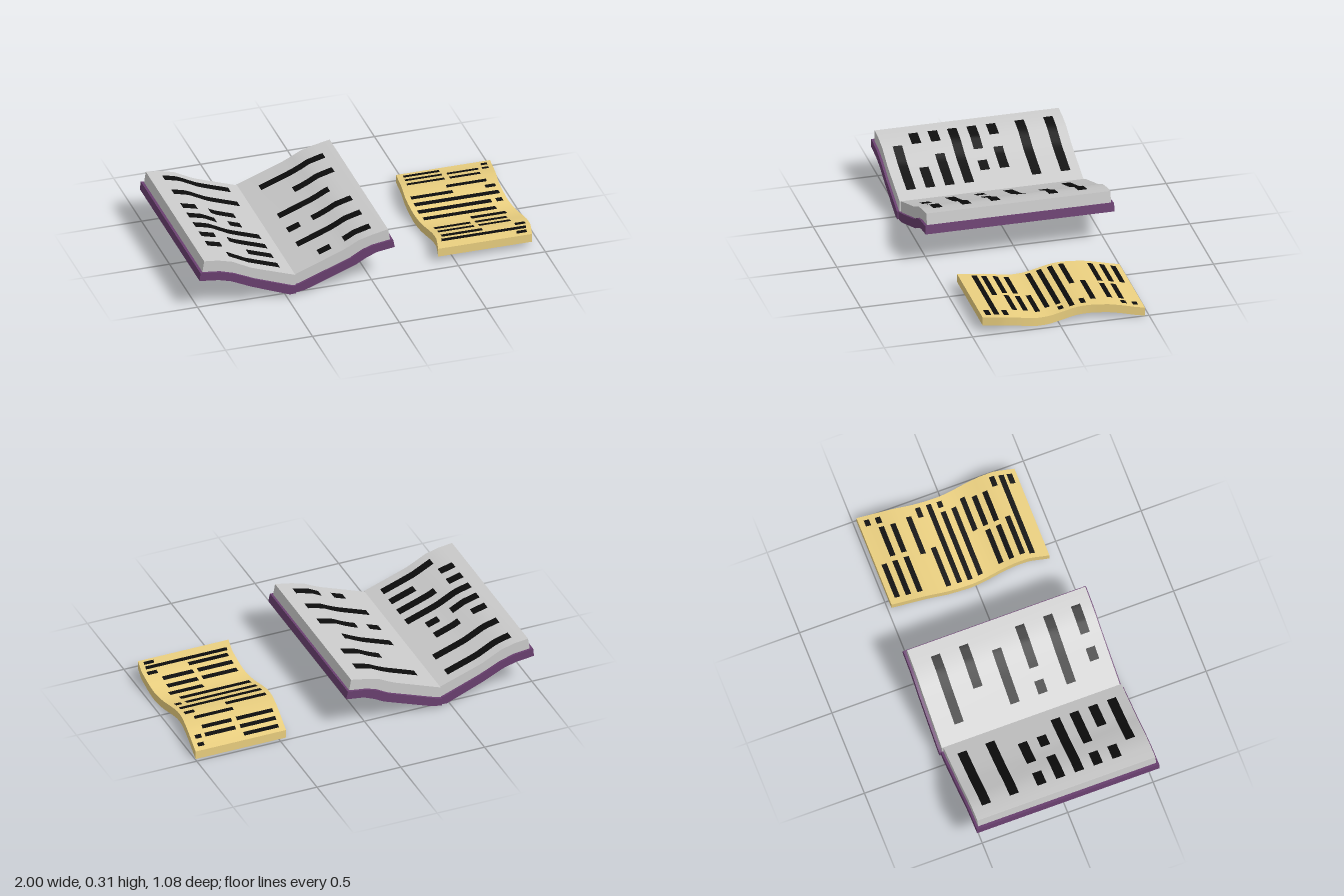
import * as THREE from 'three';
import { toCreasedNormals } from 'three/addons/utils/BufferGeometryUtils.js';

const mat = (color) => new THREE.MeshStandardMaterial({ color });

// Piecewise linear lookup through [position, value] pairs
function lerpTable(table, t) {
  let i = 0;
  while (i < table.length - 2 && t > table[i + 1][0]) i++;
  const [a, va] = table[i], [b, vb] = table[i + 1];
  return va + (vb - va) * THREE.MathUtils.clamp((t - a) / (b - a), 0, 1);
}

// Slab with an upper and a lower outline, extruded from z0 to z1
function slab(name, upper, lower, z0, z1, material) {
  const shape = new THREE.Shape([...lower, ...[...upper].reverse()].map(([x, y]) => new THREE.Vector2(x, y)));
  const geo = new THREE.ExtrudeGeometry(shape, { depth: z1 - z0, bevelEnabled: false });
  geo.translate(0, 0, z0);
  const mesh = new THREE.Mesh(toCreasedNormals(geo, 0.5), material);
  mesh.name = name;
  return mesh;
}

// Thin ink bar laid on a surface; place(x, z) returns the final point
function inkBar(name, x0, x1, z, height, place, material) {
  const geo = new THREE.PlaneGeometry(x1 - x0, height, 16, 2);
  geo.rotateX(-Math.PI / 2);
  geo.translate((x0 + x1) / 2, 0, z);
  const p = geo.attributes.position;
  for (let i = 0; i < p.count; i++) p.setXYZ(i, ...place(p.getX(i), p.getZ(i)));
  geo.computeVertexNormals();
  const mesh = new THREE.Mesh(geo, material);
  mesh.name = name;
  return mesh;
}

// Book outlines, each running from -x to +x
const leftPageTop = [[-0.97, 0.297], [-0.89, 0.288], [-0.81, 0.267], [-0.7, 0.21], [-0.64, 0.188], [-0.445, 0.12]];
const rightPageTop = [[-0.445, 0.12], [-0.18, 0.22], [-0.13, 0.243], [-0.08, 0.27], [0, 0.292], [0.09, 0.31]];
const leftPageBase = [[-0.98, 0.231], [-0.88, 0.22], [-0.8, 0.195], [-0.68, 0.14], [-0.46, 0.058], [-0.445, 0.058]];
const rightPageBase = [[-0.445, 0.058], [-0.42, 0.063], [-0.13, 0.17], [-0.06, 0.21], [0, 0.23], [0.102, 0.245]];
const leftCoverTop = [[-0.995, 0.233], ...leftPageBase.slice(1)];
const rightCoverTop = [...rightPageBase.slice(0, -1), [0.115, 0.247]];
const leftCoverBase = [[-1, 0.185], [-0.89, 0.172], [-0.82, 0.153], [-0.7, 0.097], [-0.48, 0.01], [-0.445, 0.012]];
const rightCoverBase = [[-0.445, 0.012], [-0.39, 0.02], [-0.1, 0.127], [-0.04, 0.16], [0.02, 0.185], [0.125, 0.2]];

// Lines of writing: [z, x0, x1, x0, x1, ...]
const leftLines = [
  [-0.435, -0.895, -0.515], [-0.272, -0.895, -0.515], [-0.11, -0.895, -0.81, -0.735, -0.59],
  [0, -0.895, -0.735, -0.66, -0.59], [0.11, -0.895, -0.515], [0.22, -0.895, -0.81, -0.735, -0.515],
  [0.33, -0.895, -0.81, -0.66, -0.515], [0.44, -0.81, -0.515],
];
const rightLines = [
  [-0.39, -0.355, 0.013], [-0.226, -0.215, 0.013], [-0.062, -0.355, -0.065],
  [0.102, -0.355, -0.285, -0.215, 0.013], [0.267, -0.355, 0.013], [0.43, -0.285, -0.215, -0.14, 0.013],
];
const sheetLines = [
  [-0.433, 0.484, 0.69, 0.928, 0.965], [-0.372, 0.473, 0.685, 0.714, 0.895, 0.917, 0.954],
  [-0.308, 0.463, 0.68, 0.709, 0.885], [-0.214, 0.66, 0.89], [-0.15, 0.436, 0.676, 0.863, 0.922],
  [-0.086, 0.436, 0.922], [-0.024, 0.436, 0.858, 0.885, 0.922], [0.04, 0.447, 0.864],
  [0.104, 0.698, 0.901], [0.168, 0.468, 0.676, 0.703, 0.885], [0.23, 0.468, 0.676, 0.703, 0.885],
  [0.294, 0.468, 0.703, 0.89, 0.949], [0.345, 0.452, 0.938], [0.39, 0.869, 0.928],
];

// Wavy sheet: underside height and left edge as they change along z
const sheetHeight = [
  [-0.478, 0], [-0.43, 0.006], [-0.36, 0.02], [-0.29, 0.031], [-0.22, 0.034], [-0.15, 0.033],
  [-0.09, 0.026], [-0.02, 0.011], [0.03, 0.003], [0.07, 0], [0.13, 0.003], [0.18, 0.011],
  [0.24, 0.024], [0.29, 0.031], [0.34, 0.034], [0.428, 0.034],
];
const sheetEdge = [
  [-0.478, 0.457], [-0.175, 0.409], [-0.1, 0.405], [-0.015, 0.409], [0.08, 0.423],
  [0.16, 0.434], [0.24, 0.436], [0.32, 0.432], [0.428, 0.407],
];
const sheetWidth = 0.54, sheetThickness = 0.049;

function addLines(group, lines, height, place, material) {
  for (const [z, ...xs] of lines)
    for (let i = 0; i < xs.length; i += 2)
      group.add(inkBar('writing', xs[i], xs[i + 1], z, height, place(z), material));
}

function createBook(ink) {
  const book = new THREE.Group();
  book.name = 'openBook';
  const cover = mat(0x6a4070), paper = mat(0xcccccc);
  book.add(
    slab('leftCover', leftCoverTop, leftCoverBase, -0.53, 0.538, cover),
    slab('rightCover', rightCoverTop, rightCoverBase, -0.54, 0.53, cover),
    slab('leftPages', leftPageTop, leftPageBase, -0.517, 0.525, paper),
    slab('rightPages', rightPageTop, rightPageBase, -0.526, 0.517, paper),
  );
  const onPage = (top) => () => (x, z) => [x, lerpTable(top, x) + 0.003, z];
  addLines(book, leftLines, 0.053, onPage(leftPageTop), ink);
  addLines(book, rightLines, 0.053, onPage(rightPageTop), ink);
  return book;
}

function createSheet(ink) {
  const sheet = new THREE.Group();
  sheet.name = 'parchment';
  // A box whose cross-sections slide sideways and up along z
  const z0 = -0.478, z1 = 0.428;
  const geo = new THREE.BoxGeometry(sheetWidth, sheetThickness, z1 - z0, 1, 1, 32);
  geo.translate(sheetWidth / 2, sheetThickness / 2, (z0 + z1) / 2);
  const p = geo.attributes.position;
  for (let i = 0; i < p.count; i++) {
    const z = p.getZ(i);
    p.setX(i, p.getX(i) + lerpTable(sheetEdge, z));
    p.setY(i, p.getY(i) + lerpTable(sheetHeight, z));
  }
  const body = new THREE.Mesh(toCreasedNormals(geo, 0.6), mat(0xebd080));
  body.name = 'parchmentSheet';
  sheet.add(body);
  const onSheet = (row) => (x, z) => [
    x + lerpTable(sheetEdge, z) - lerpTable(sheetEdge, row),
    lerpTable(sheetHeight, z) + sheetThickness + 0.003, z,
  ];
  addLines(sheet, sheetLines, 0.029, onSheet, ink);
  return sheet;
}

export function createModel() {
  const model = new THREE.Group();
  model.name = 'bookAndParchment';
  const ink = mat(0x0c0c0c);
  model.add(createBook(ink), createSheet(ink));
  return model;
}
